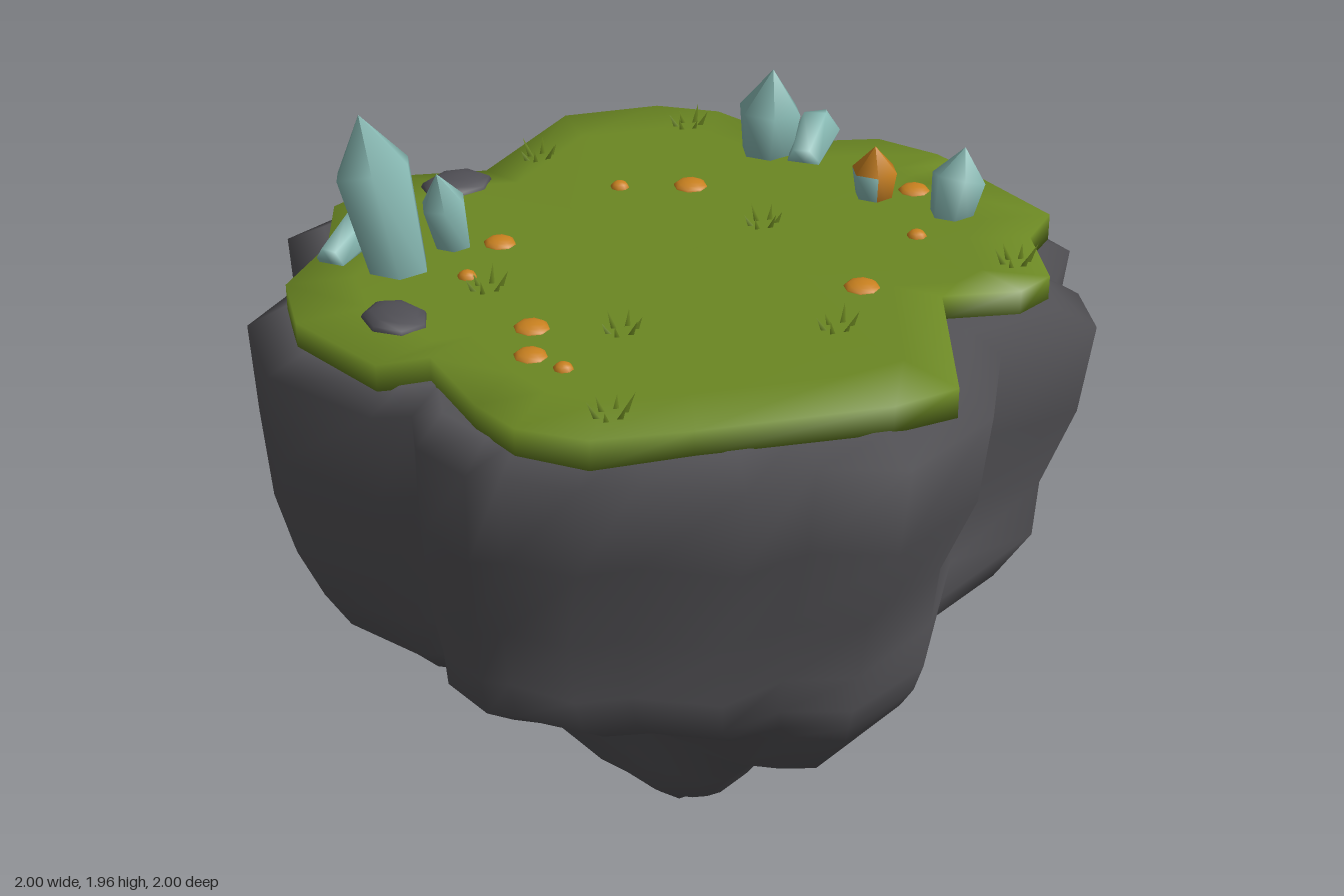
import * as THREE from 'three';

const mat = (name, color, extra = {}) => Object.assign(new THREE.MeshStandardMaterial({ color, ...extra }), { name });

// Outlines in plan, as x, z pairs running clockwise seen from above
const ROCK = [
  -.09, -1, .06, -.9, .17, -.98, .38, -.97, .49, -.82, .57, -.82, .73, -.73, .7, -.45, .92, -.23, 1, .08,
  .87, .24, .86, .43, .69, .59, .64, .72, .49, .82, .44, .88, .27, .9, .14, .83, .09, .91, -.22, 1,
  -.48, .91, -.6, .69, -.85, .59, -.92, .28, -.78, .08, -1, -.32, -.94, -.49, -.75, -.71, -.5, -.73, -.4, -.91];
const TURF = [
  -.02, -.93, .04, -.8, .1, -.92, .36, -.91, .43, -.78, .62, -.67, .64, -.56, .55, -.39, .92, -.12, .9, .05,
  .73, .47, .63, .68, .49, .78, .35, .79, .1, .75, .06, .87, -.23, .91, -.42, .83, -.55, .64, -.74, .51,
  -.8, .27, -.7, .08, -.88, -.29, -.79, -.53, -.66, -.64, -.37, -.69, -.26, -.87, -.09, -.93];

const toPoints = (flat) => {
  const pts = [];
  for (let i = 0; i < flat.length; i += 2) pts.push([flat[i], flat[i + 1]]);
  return pts;
};

// Skin closed rings of equal length, listed from top to bottom
function loft(rings) {
  const n = rings[0].length, index = [];
  for (let r = 0; r < rings.length - 1; r++) {
    for (let i = 0; i < n; i++) {
      const a = r * n + i, b = r * n + (i + 1) % n;
      index.push(a, b, b + n, a, b + n, a + n);
    }
  }
  const geo = new THREE.BufferGeometry();
  geo.setAttribute('position', new THREE.Float32BufferAttribute(rings.flat(2), 3));
  geo.setIndex(index);
  geo.computeVertexNormals();
  return geo;
}

// Lobed boulder tapering to a point: y, reach to -x, +x, -z, +z, roundness, waviness
function rockGeometry() {
  const pts = toPoints(ROCK);
  const ring = ([y, xn, xp, zn, zp, round, wave]) => {
    const flat = pts.map(([x, z]) => {
      const t = Math.atan2(z, x), k = 1 - wave * (.5 + .5 * Math.sin(4 * t + y * 9));
      return [k * (x + (Math.cos(t) - x) * round), k * (z + (Math.sin(t) - z) * round), t];
    });
    // Scale each side so that the ring just meets its stated reach
    const reach = (axis, sign) => Math.max(...flat.map((p) => p[axis] * sign));
    const sx = [xn / reach(0, -1), xp / reach(0, 1)], sz = [zn / reach(1, -1), zp / reach(1, 1)];
    return flat.map(([x, z, t]) => [
      x * sx[x < 0 ? 0 : 1], y - wave * .4 * Math.sin(3 * t + 1), z * sz[z < 0 ? 0 : 1]]);
  };
  const rows = [
    [1.53, .9, .9, .9, .9, 0, 0],
    [1.48, 1, 1, 1, 1, 0, 0],
    [1.25, .98, .97, .97, .99, 0, 0],
    [1.02, .95, .87, .91, .97, 0, .02],
    [.87, .85, .84, .83, .91, .05, .06],
    [.77, .77, .82, .71, .85, .12, .08],
    [.71, .72, .8, .61, .76, .3, .09],
    [.65, .64, .77, .57, .54, .45, .09],
    [.5, .55, .65, .5, .42, .65, .1],
    [.44, .53, .46, .38, .39, .75, .1],
    [.31, .42, .36, .32, .32, .85, .1],
    [.16, .19, .24, .17, .2, .9, .06],
    [.05, .09, .11, .05, .08, 1, 0]];
  return loft([pts.map(() => [0, 1.53, 0]), ...rows.map(ring), pts.map(() => [.05, 0, .01])]);
}

function turfGeometry() {
  const pts = toPoints(TURF);
  const ring = (k, y, wave = 0) => pts.map(([x, z], i) => [x * k, y + wave * Math.sin(i * 2.1), z * k]);
  return loft([ring(0, 1.595), ring(.82, 1.598), ring(1, 1.59), ring(1, 1.522, .008), ring(.85, 1.522)]);
}

// Six-sided crystal from a foot point to a tip point, widest at the shoulder
function crystalGeometry(r, foot, tip, shoulder = .64) {
  const a = new THREE.Vector3(...foot), dir = new THREE.Vector3(...tip).sub(a), h = dir.length();
  const profile = [[0, 0], [.74, 0], [1, shoulder], [0, 1]];
  const geo = new THREE.LatheGeometry(profile.map(([x, y]) => new THREE.Vector2(x * r, y * h)), 6);
  geo.applyQuaternion(new THREE.Quaternion().setFromUnitVectors(new THREE.Vector3(0, 1, 0), dir.normalize()));
  return geo.translate(a.x, a.y, a.z);
}

export function createModel() {
  const group = new THREE.Group();
  group.name = 'floatingIsland';
  const rock = mat('rock grey', 0x545357);
  const stone = mat('stone grey', 0x4f4e54);
  const turf = mat('turf green', 0x6b8723);
  const blade = mat('blade green', 0x66801f, { side: THREE.DoubleSide });
  const crystal = mat('crystal teal', 0x88bab4);
  const orange = mat('cap orange', 0xc8801f);
  const add = (name, geo, material, parent = group) => {
    const mesh = new THREE.Mesh(geo, material);
    mesh.name = name;
    parent.add(mesh);
    return mesh;
  };

  add('rock', rockGeometry(), rock);
  add('turf', turfGeometry(), turf);

  // Crystals: radius, foot, tip, shoulder height
  [
    [.1, [-.325, 1.56, .565], [-.44, 1.96, .595], .68],
    [.058, [-.36, 1.57, .39], [-.37, 1.79, .43]],
    [.052, [-.45, 1.6, .69], [-.54, 1.645, .51]],
    [.085, [-.36, 1.56, -.57], [-.36, 1.82, -.59], .58],
    [.06, [-.24, 1.6, -.6], [-.36, 1.665, -.77]],
    [.07, [.22, 1.57, -.7], [.2, 1.755, -.76], .6],
  ].forEach(([r, foot, tip, shoulder]) => add('crystal', crystalGeometry(r, foot, tip, shoulder), crystal));

  // Orange crystal with teal facets low on its front and right sides
  const mixed = crystalGeometry(.06, [.02, 1.57, -.62], [.02, 1.73, -.62], .6).toNonIndexed();
  const p = mixed.attributes.position;
  const mean = (i, get) => (p[get](i) + p[get](i + 1) + p[get](i + 2)) / 3;
  for (let i = 0; i < p.count; i += 3) {
    const side = mean(i, 'getZ') + .62 - (mean(i, 'getX') - .02) * .5;
    mixed.addGroup(i, 3, mean(i, 'getY') < 1.66 && side > 0 ? 1 : 0);
  }
  add('orangeCrystal', mixed, [orange, crystal]);

  // Low domes half sunk in the turf
  const dome = (name, sides, material, x, z, sx, h, sz) => {
    const d = add(name, new THREE.SphereGeometry(1, sides, 4, 0, Math.PI * 2, 0, Math.PI / 2), material);
    d.scale.set(sx, h, sz);
    d.position.set(x, 1.592, z);
  };
  // Orange caps: x, z, radius
  [
    [.06, -.72, .042], [.27, -.55, .026], [-.3, -.28, .045], [-.4, -.13, .025], [.41, -.26, .046], [-.3, .3, .042],
    [-.62, .42, .04], [-.19, .465, .025], [.125, .49, .045], [.24, .57, .042], [.335, .545, .025],
  ].forEach(([x, z, r]) => dome('mushroomCap', 8, orange, x, z, r, .022, r));
  // Loose stones
  dome('looseStone', 7, stone, -.655, .2, .077, .035, .1);
  dome('looseStone', 7, stone, -.1, .72, .094, .035, .077);

  // Grass tufts of splayed blades
  const bladeGeo = new THREE.ConeGeometry(.009, .055, 3).translate(0, .0275, 0);
  [
    [-.62, -.51], [-.01, -.29], [.52, -.65], [.54, -.08], [.26, .33], [.57, .58], [-.11, .46], [-.68, -.07],
  ].forEach(([x, z], t) => {
    const tuft = new THREE.Group();
    tuft.name = 'grassTuft';
    tuft.position.set(x, 1.59, z);
    for (let i = 0; i < 6; i++) {
      const a = i * 1.05 + t, b = add('blade', bladeGeo, blade, tuft);
      b.position.set(Math.cos(a) * .022, 0, Math.sin(a) * .032);
      b.rotation.set(Math.sin(a) * .5, 0, -Math.cos(a) * .5);
      b.scale.y = .7 + .3 * ((i * 2 + t) % 3) / 2;
    }
    group.add(tuft);
  });
  return group;
}
